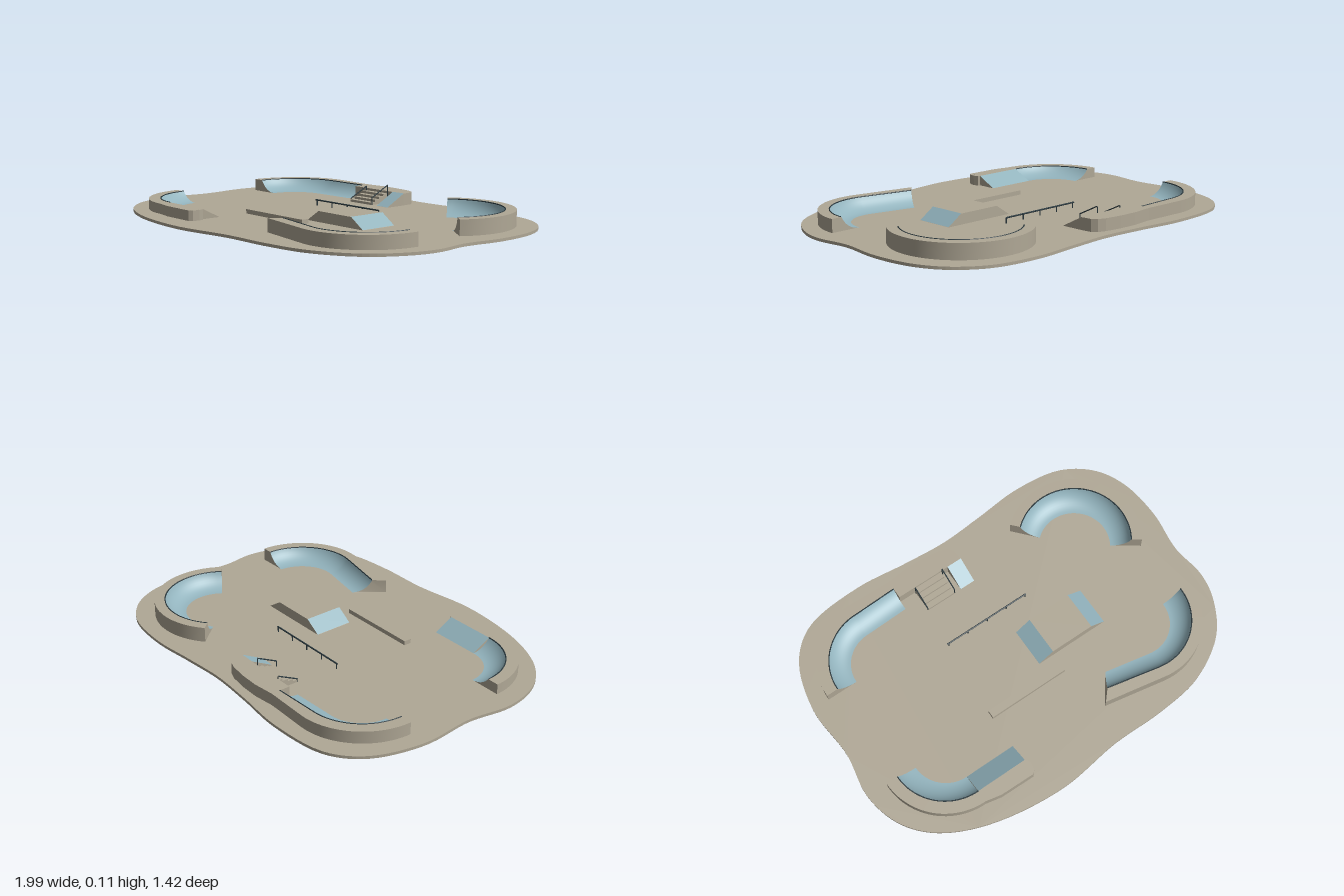
import * as THREE from 'three';

const FLOOR = 0.014;

export function createModel() {
  const group = new THREE.Group();
  const material = (name, color) => {
    const m = new THREE.MeshStandardMaterial({ color });
    m.name = name;
    return m;
  };
  const concrete = material('concrete', 0xb0a896);
  const rideBlue = material('ride surface blue', 0x93b4be);
  const steel = material('dark steel', 0x2b3a40);

  const add = (name, geometry, mat, parent = group) => {
    const mesh = new THREE.Mesh(geometry, mat);
    mesh.name = name;
    parent.add(mesh);
    return mesh;
  };
  const box = (name, x0, x1, y0, y1, z0, z1, mat = concrete) =>
    add(name, new THREE.BoxGeometry(x1 - x0, y1 - y0, z1 - z0), mat)
      .position.set((x0 + x1) / 2, (y0 + y1) / 2, (z0 + z1) / 2);
  const extrude = (points, depth) => new THREE.ExtrudeGeometry(
    new THREE.Shape(points.map(p => new THREE.Vector2(p[0], p[1]))), { depth, bevelEnabled: false });
  // plan outline given in x and z, raised from y0 to y1
  const slab = (name, points, y0, y1) =>
    add(name, extrude(points, y1 - y0).rotateX(Math.PI / 2).translate(0, y1, 0), concrete);

  // surface through rows of points
  const strip = rows => {
    const n = rows[0].length, index = [];
    for (let i = 0; i < rows.length - 1; i++) for (let j = 0; j < n - 1; j++) {
      const a = i * n + j, b = a + 1, c = a + n, d = c + 1;
      index.push(a, b, c, b, d, c);
    }
    const g = new THREE.BufferGeometry();
    g.setAttribute('position', new THREE.Float32BufferAttribute(rows.flat(2), 3));
    g.setIndex(index);
    g.computeVertexNormals();
    return g;
  };
  const fan = (points, flip) => {
    const index = [];
    for (let i = 1; i < points.length - 1; i++)
      index.push(0, flip ? i + 1 : i, flip ? i : i + 1);
    const g = new THREE.BufferGeometry();
    g.setAttribute('position', new THREE.Float32BufferAttribute(points.flat(), 3));
    g.setIndex(index);
    g.computeVertexNormals();
    return g;
  };
  const tube = (name, points, radius, parent = group) => {
    const path = new THREE.CurvePath();
    const v = points.map(p => new THREE.Vector3(...p));
    for (let i = 0; i < v.length - 1; i++) path.add(new THREE.LineCurve3(v[i], v[i + 1]));
    return add(name, new THREE.TubeGeometry(path, Math.max(1, (v.length - 1) * 2), radius, 6), steel, parent);
  };

  // plan sections: [outer x, outer z, lip x, lip z, toe x, toe z]
  const arc = (cx, cz, rOuter, rLip, rToe, from, to, steps = 24) =>
    Array.from({ length: steps + 1 }, (_, i) => {
      const a = THREE.MathUtils.degToRad(from + (to - from) * i / steps);
      return [rOuter, rLip, rToe].flatMap(r => [cx + r * Math.cos(a), cz + r * Math.sin(a)]);
    });

  // deck, back wall and curved (or flat) riding face swept through the sections
  const ramp = (name, sections, top, curved = true) => {
    const part = new THREE.Group();
    part.name = name;
    group.add(part);
    const h = top - FLOOR, steps = curved ? 10 : 1;
    const faces = sections.map(([, , lx, lz, tx, tz]) => {
      const w = Math.hypot(tx - lx, tz - lz);
      const R = (w * w + h * h) / (2 * h);
      const sweep = Math.asin(Math.min(1, w / R));
      return Array.from({ length: steps + 1 }, (_, i) => {
        const a = sweep * (1 - i / steps);
        const u = curved ? 1 - R * Math.sin(a) / w : i / steps;
        const y = curved ? R * (1 - Math.cos(a)) : h * (1 - u);
        return [lx + (tx - lx) * u, FLOOR + 0.0005 + y, lz + (tz - lz) * u];
      });
    });
    const walls = sections.map(s => [[s[0], FLOOR, s[1]], [s[0], top, s[1]]]);
    const decks = sections.map(s => [[s[0], top, s[1]], [s[2], top, s[3]]]);
    add('back wall', strip(walls), concrete, part);
    add('deck', strip(decks), concrete, part);
    add('riding face', strip(faces), rideBlue, part);
    const last = sections.length - 1;
    add('first end', fan([...walls[0], ...faces[0]], true), concrete, part);
    add('second end', fan([...walls[last], ...faces[last]], false), concrete, part);
    if (curved) tube('coping', sections.map(s => [s[2], top, s[3]]), 0.003, part);
  };

  // ground slab
  const outline = new THREE.CatmullRomCurve3([
    [-0.47, -0.715], [-0.77, -0.675], [-0.91, -0.55], [-0.985, -0.3], [-0.97, -0.02], [-1, 0.21],
    [-0.95, 0.4], [-0.83, 0.54], [-0.6, 0.65], [-0.22, 0.705], [0.12, 0.668], [0.4, 0.665],
    [0.64, 0.63], [0.85, 0.51], [0.96, 0.34], [0.99, 0.2], [0.97, 0.02], [0.995, -0.2],
    [0.97, -0.42], [0.89, -0.57], [0.74, -0.675], [0.5, -0.71], [0.25, -0.69], [0.03, -0.675],
    [-0.2, -0.69],
  ].map(p => new THREE.Vector3(p[0], 0, p[1])), true);
  slab('ground', outline.getPoints(160).slice(0, -1).map(p => [p.x, p.z]), 0, FLOOR);

  // corner ramps
  ramp('backLeftSideRamp', arc(0.56, -0.285, 0.335, 0.282, 0.18, -131.5, 35, 32), 0.09);
  ramp('frontLeftSideRamp', [
    ...arc(0.56, 0.225, 0.33, 0.275, 0.175, 0, 101),
    [0.187, 0.49, 0.235, 0.437, 0.29, 0.35],
  ], 0.08);
  ramp('frontRightSideRamp', arc(-0.56, 0.225, 0.335, 0.275, 0.175, 90, 180), 0.065);
  ramp('frontRightSideBank', [
    [-0.3, 0.58, -0.295, 0.5, -0.295, 0.4],
    [-0.48, 0.577, -0.48, 0.5, -0.48, 0.4],
    [-0.56, 0.56, -0.56, 0.5, -0.56, 0.4],
  ], 0.065, false);
  slab('roundedDeckEnd', [[-0.3, 0.5], [-0.285, 0.505], [-0.278, 0.53], [-0.285, 0.565], [-0.3, 0.58]],
    FLOOR, 0.065);
  const DECK = 0.075;
  ramp('backRightSideRamp', [
    ...arc(-0.56, -0.3, 0.335, 0.275, 0.175, 180, 270),
    [-0.33, -0.628, -0.33, -0.583, -0.33, -0.483],
  ], DECK);

  // raised platform with stairs and a bank
  slab('stairPlatform', [[-0.33, -0.628], [-0.22, -0.64], [-0.12, -0.637], [-0.03, -0.625], [0.01, -0.61],
    [0.03, -0.585], [0.035, -0.53], [-0.33, -0.53]], FLOOR, DECK);
  for (let i = 0; i < 4; i++)
    box('stairStep', -0.24, -0.085, FLOOR, FLOOR + (DECK - FLOOR) * (4 - i) / 5, -0.53, -0.5 + i * 0.029);
  for (const [x, y] of [[-0.24, 0.085], [-0.08, 0.107]]) {
    tube('stairHandrail', [[x, y, -0.525], [x, y - 0.055, -0.415]], 0.003);
    tube('handrailPost', [[x, FLOOR, -0.525], [x, y, -0.525]], 0.0025);
    tube('handrailPost', [[x, FLOOR, -0.417], [x, y - 0.055, -0.417]], 0.0025);
  }
  add('platformBankBody', extrude([[-0.53, FLOOR], [-0.415, FLOOR], [-0.53, DECK]], 0.08)
    .rotateY(-Math.PI / 2).translate(0.035, 0, 0), concrete);
  const lift = 0.001;
  add('platformBankFace', strip([-0.045, 0.035].map(x =>
    [[x, DECK + lift, -0.53], [x, FLOOR + lift, -0.415]])), rideBlue);

  // central box with two sloped ends
  const BOX = 0.067;
  add('funBoxBody', extrude([[0.05, FLOOR], [0.44, FLOOR], [0.36, BOX], [0.13, BOX]], 0.2)
    .translate(0, 0, -0.068), concrete);
  const slope = (x0, y0, x1, y1) => add('funBoxSlope', strip([[x0, y0], [x1, y1]].map(([x, y]) =>
    [[x, y + lift, -0.068], [x, y + lift, 0.132]])), rideBlue);
  slope(0.05, FLOOR, 0.13, BOX);
  slope(0.36, BOX, 0.44, FLOOR);

  // grind ledge and flat rail
  box('grindLedge', -0.295, 0.13, FLOOR, 0.036, 0.195, 0.234);
  tube('flatRail', [[-0.27, 0.042, -0.2], [0.2, 0.042, -0.2]], 0.004);
  for (let i = 0; i < 5; i++) {
    const x = -0.26 + i * 0.114;
    tube('flatRailPost', [[x, FLOOR, -0.2], [x, 0.042, -0.2]], 0.003);
  }
  return group;
}
